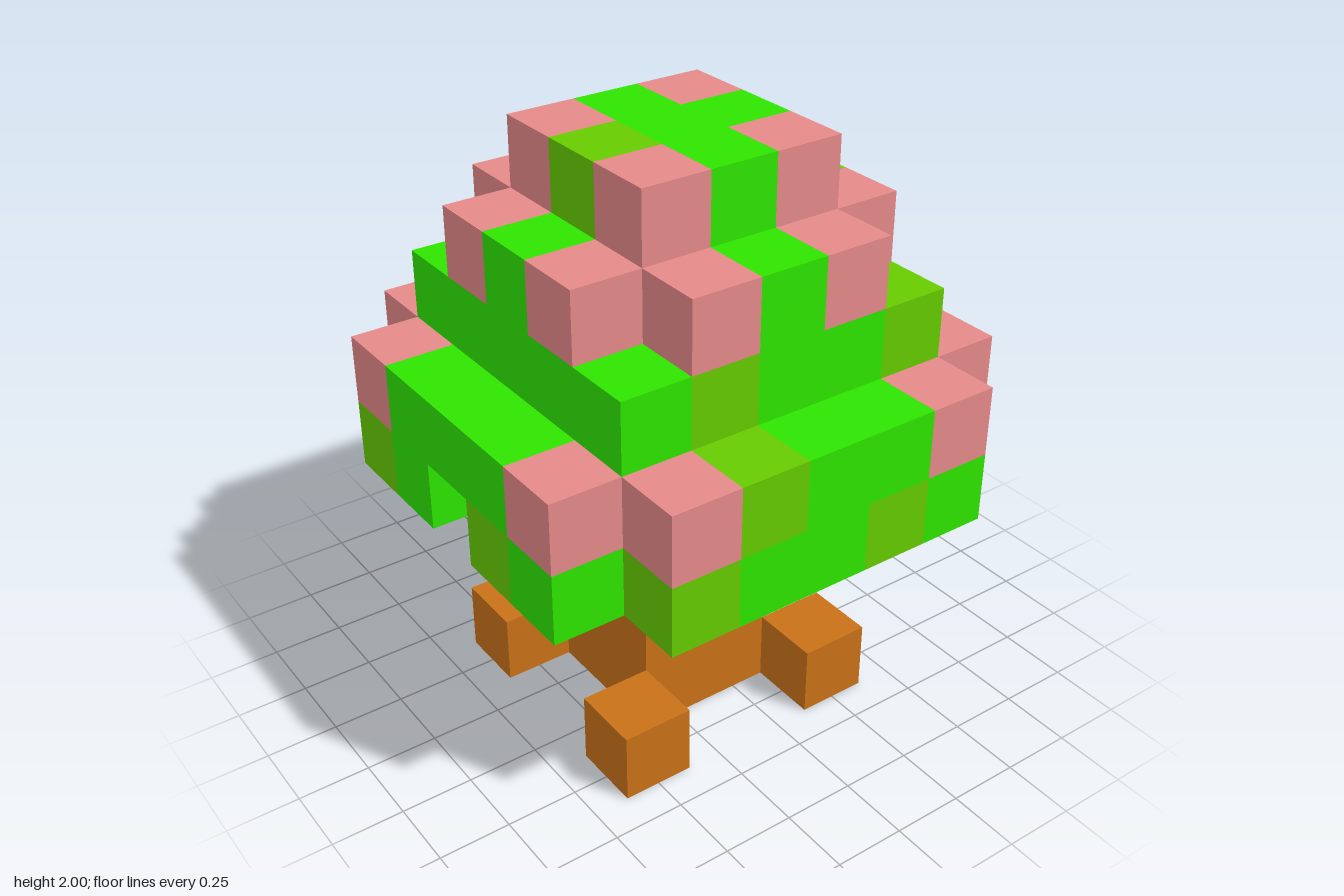
import * as THREE from 'three';
import { mergeGeometries } from 'three/addons/utils/BufferGeometryUtils.js';

const S = 0.25; // edge of one block
const E = '.......';

const MATERIALS = {
  g: ['leafGreen', 0x2ee500],
  o: ['oliveLeaf', 0x66cb00],
  p: ['pinkBlossom', 0xe58989],
  b: ['bark', 0xc97118],
};

// Rows run from back to front, letters from -x to +x
const LAYERS = [
  ['trunkBaseAndRoots', [E, E, '.b..b..', '..bb...', '..bb...', '.b..b..', E]],
  ['trunk', [E, E, E, '..bb...', '..bb...', E, E]],
  ['trunkAndBranches', [E, E, E, '.bbb...', '..bbb..', E, E]],
  ['lowerCanopy', ['.gggog.', 'ogogggo', 'gggggog', '.bbbggg', 'ogbbb..', 'ggggggo', '.oggog.']],
  ['blossomSkirt', ['.pgogp.', 'pgggggp', 'ggggggg', 'ggggggo', 'ggggggg', 'pgggggp', '.poggp.']],
  ['middleCanopy', [E, '.ggggo.', '.ggggg.', '.ggggg.', '.ggggg.', '.goggo.', E]],
  ['upperCanopy', [E, '..pop..', '.pgggp.', '.ggggo.', '.pgggp.', '..pgp..', E]],
  ['crown', [E, E, '..pgp..', '..ogg..', '..pgp..', E, E]],
];

// Block letter at a grid cell, or '.' when empty
function blockAt(x, y, z) {
  return LAYERS[y]?.[1][z]?.[x] ?? '.';
}

const SIDES = [[1, 0, 0], [-1, 0, 0], [0, 1, 0], [0, -1, 0], [0, 0, 1], [0, 0, -1]];

// One outward square of a block
function blockFace(x, y, z, [dx, dy, dz]) {
  const face = new THREE.PlaneGeometry(S, S);
  if (dy) face.rotateX(-dy * Math.PI / 2);
  else face.rotateY(Math.atan2(dx, dz));
  return face.translate(
    (x - 3 + dx / 2) * S,
    (y + 0.5 + dy / 2) * S,
    (z - 3 + dz / 2) * S,
  );
}

export function createModel() {
  const tree = new THREE.Group();
  tree.name = 'blockTree';

  const materials = {};
  for (const [key, [name, color]] of Object.entries(MATERIALS)) {
    materials[key] = new THREE.MeshStandardMaterial({ color });
    materials[key].name = name;
  }

  // Each layer is a group with one mesh per colour, only exposed faces are kept
  LAYERS.forEach(([name, rows], y) => {
    const layer = new THREE.Group();
    layer.name = name;
    const faces = { g: [], o: [], p: [], b: [] };
    rows.forEach((row, z) => [...row].forEach((key, x) => {
      if (key === '.') return;
      for (const side of SIDES) {
        const [dx, dy, dz] = side;
        if (blockAt(x + dx, y + dy, z + dz) === '.') faces[key].push(blockFace(x, y, z, side));
      }
    }));
    for (const [key, list] of Object.entries(faces)) {
      if (!list.length) continue;
      const mesh = new THREE.Mesh(mergeGeometries(list), materials[key]);
      mesh.name = `${name} ${MATERIALS[key][0]}`;
      layer.add(mesh);
    }
    tree.add(layer);
  });

  return tree;
}
